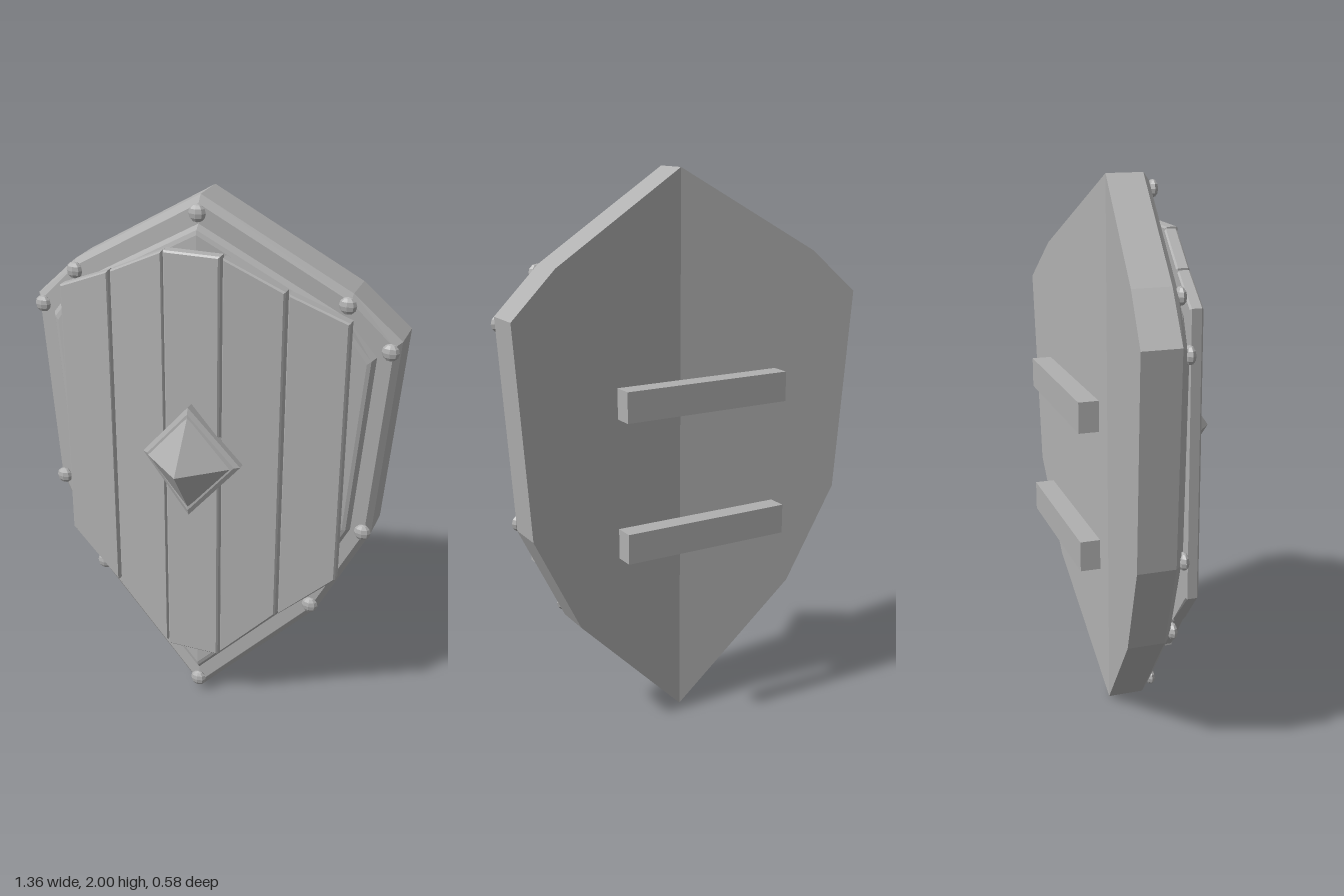
import * as THREE from 'three';

const SLOPE = 0.15; // how far the shield sweeps back per unit of |x|

const steel = new THREE.MeshStandardMaterial({ color: 0xb0b0b0 });
steel.name = 'grey steel';

// Solid through mirrored rings. Each ring is { half, z }: the half outline
// runs from the top to the bottom on +x, z is the depth on the centre line.
function foldedLoft(rings, slope = SLOPE) {
  const n = rings[0].half.length;
  const full = rings.map(({ half, z }) => {
    const right = half.map(([x, y]) => [x, y, z - slope * x]);
    const left = right.slice(1, -1).reverse().map(([x, y, d]) => [-x, y, d]);
    return [...right, ...left];
  });
  const pos = [];
  const tri = (a, b, c) => pos.push(...a, ...b, ...c);
  const count = full[0].length;
  for (let r = 0; r < full.length - 1; r++) {
    for (let i = 0; i < count; i++) {
      const j = (i + 1) % count;
      const a = full[r][i], b = full[r][j], c = full[r + 1][j], d = full[r + 1][i];
      tri(a, d, c);
      tri(a, c, b);
    }
  }
  // caps, one fan for each half so the fold stays on the centre line
  const back = full[0], front = full[full.length - 1];
  const fan = (ring, from, to, isFront) => {
    for (let i = from; i < to; i++) {
      const p = ring[i], q = ring[(i + 1) % count];
      if (isFront) tri(ring[0], q, p);
      else tri(ring[0], p, q);
    }
  };
  for (const [from, to] of [[1, n - 1], [n - 1, count - 1]]) {
    fan(back, from, to, false);
    fan(front, from, to, true);
  }
  const geo = new THREE.BufferGeometry();
  geo.setAttribute('position', new THREE.Float32BufferAttribute(pos, 3));
  geo.computeVertexNormals();
  return geo;
}

// Plank with a small chamfer, sheared to follow the sweep of the shield
function plankGeometry(corners, z, slope) {
  const bevel = 0.006;
  const geo = new THREE.ExtrudeGeometry(
    new THREE.Shape(corners.map(([x, y]) => new THREE.Vector2(x, y))),
    { depth: 0.034, bevelEnabled: true, bevelSize: bevel, bevelOffset: -bevel, bevelThickness: bevel, bevelSegments: 1 }
  );
  const p = geo.attributes.position;
  for (let i = 0; i < p.count; i++) {
    p.setZ(i, p.getZ(i) + bevel + z - slope * Math.abs(p.getX(i)));
  }
  geo.computeVertexNormals();
  return geo;
}

export function createModel() {
  const model = new THREE.Group();
  model.name = 'shield';
  const add = (name, geo, x = 0, y = 0, z = 0) => {
    const mesh = new THREE.Mesh(geo, steel);
    mesh.name = name;
    mesh.position.set(x, y, z);
    model.add(mesh);
    return mesh;
  };

  // body with a chamfered rim and a raised inner field
  const outer = [[0, 2], [0.51, 1.7], [0.68, 1.545], [0.623, 0.8], [0.44, 0.44], [0, 0]];
  const inner = [[0, 1.89], [0.49, 1.61], [0.59, 1.48], [0.54, 0.82], [0.365, 0.49], [0, 0.125]];
  const between = (t) => outer.map(([x, y], i) => [x + (inner[i][0] - x) * t, y + (inner[i][1] - y) * t]);
  add('body', foldedLoft([
    { half: outer, z: -0.1 },
    { half: outer, z: 0.035 },
    { half: between(0.25), z: 0.055 },
    { half: between(0.85), z: 0.055 },
    { half: between(1), z: 0.074 },
    { half: between(1.15), z: 0.078 },
  ]));

  // planks: flat one in the middle, two swept ones on each side
  add('centrePlank', plankGeometry([[-0.101, 0.24], [0.101, 0.24], [0.101, 1.825], [-0.101, 1.825]], 0.08, 0));
  const sidePlanks = [
    ['innerPlank', [[0.108, 0.25], [0.315, 0.455], [0.315, 1.72], [0.108, 1.82]]],
    ['outerPlank', [[0.325, 0.46], [0.528, 0.64], [0.528, 1.63], [0.325, 1.715]]],
  ];
  for (const [name, corners] of sidePlanks) {
    add(name + 'Left', plankGeometry(corners, 0.09, SLOPE));
    const mirrored = corners.map(([x, y]) => [-x, y]).reverse();
    add(name + 'Right', plankGeometry(mirrored, 0.09, SLOPE));
  }

  // pointed boss on a folded diamond plate
  const MID = 1.075;
  const diamond = (w, h) => [[0, MID + h], [w, MID], [0, MID - h]];
  add('bossPlate', foldedLoft([
    { half: diamond(0.185, 0.213), z: 0.125 },
    { half: diamond(0.185, 0.213), z: 0.16 },
    { half: diamond(0.165, 0.19), z: 0.168 },
  ]));
  add('bossPoint', foldedLoft([
    { half: diamond(0.155, 0.178), z: 0.166 },
    { half: diamond(0.001, 0.001), z: 0.29 },
  ], 0.05));

  // flattened rivets around the rim
  const rivetGeo = new THREE.SphereGeometry(0.031, 8, 6).toNonIndexed();
  rivetGeo.scale(1, 1, 0.6);
  rivetGeo.computeVertexNormals();
  const rivets = [[0, 1.945], [0.5, 1.667], [0.648, 1.515], [0.598, 0.815], [0.424, 0.475], [0, 0.06]];
  for (const [x, y] of rivets) {
    for (const side of x ? [1, -1] : [1]) {
      add('rivet', rivetGeo, side * x, y, 0.068 - 0.157 * x);
    }
  }

  // grip bars behind the shield
  const gripGeo = new THREE.BoxGeometry(0.635, 0.107, 0.07);
  add('upperGrip', gripGeo, 0, 1.245, -0.26);
  add('lowerGrip', gripGeo, 0, 0.75, -0.26);

  return model;
}
